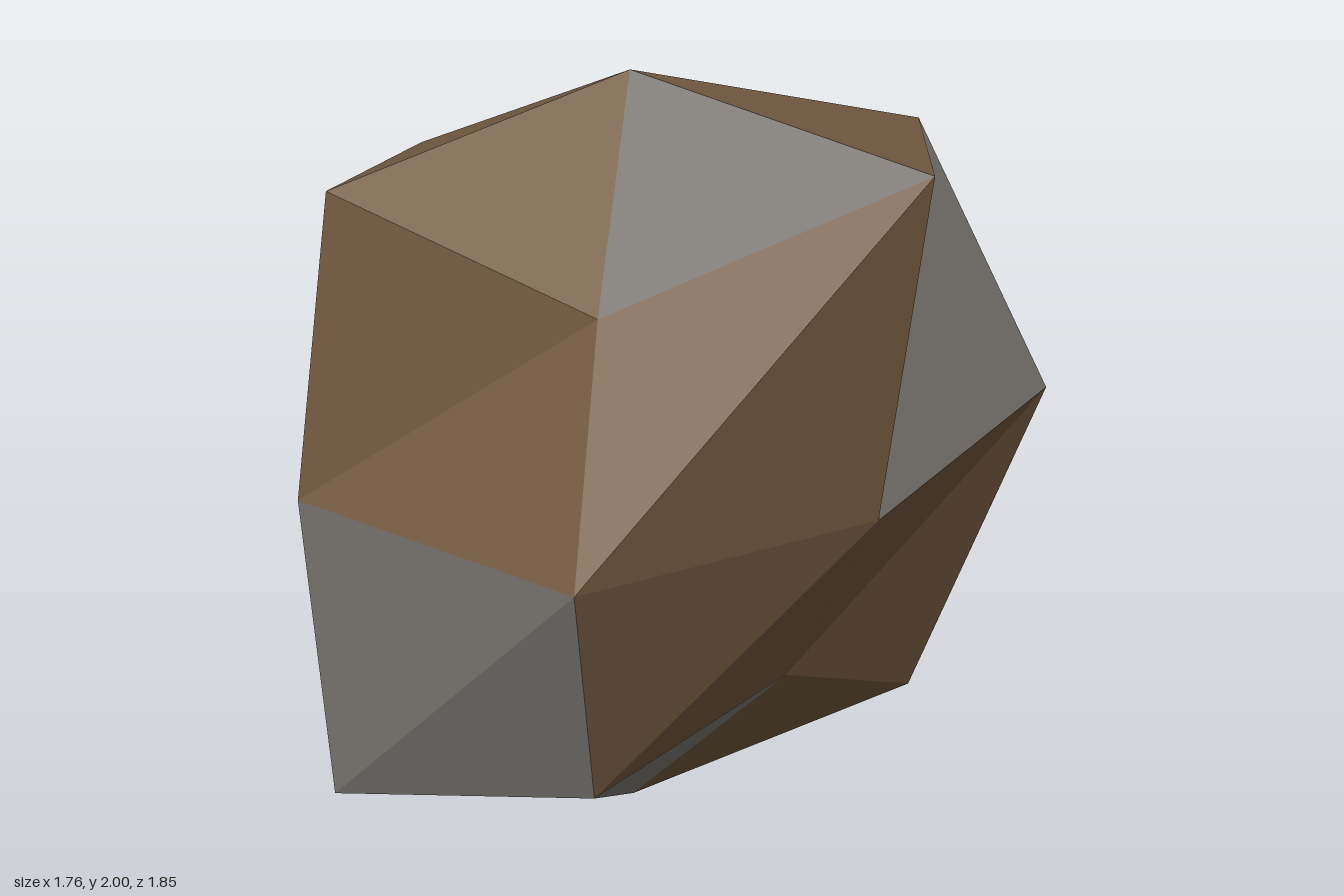
import * as THREE from 'three';

// A six-sided, four-row faceted rock: every ring point is pushed in or out along its radius.
const SIDES = 6;
const CENTRE = new THREE.Vector3(0, 1, 0.13);
const RADII = [
  [1, 1, 1, 1, 1, 1],                      // top point
  [1.25, 0.76, 1.1, 0.99, 0.81, 1.13],     // upper ring
  [0.76, 0.915, 0.885, 0.73, 0.83, 1.22],  // middle ring
  [0.7, 0.93, 1.17, 1.24, 0.785, 1.17],    // lower ring
  [1, 1, 1, 1, 1, 1],                      // bottom point
];

function rockPoint(row, i) {
  const side = i % SIDES;
  const polar = (row / 4) * Math.PI;
  const turn = (side / SIDES) * Math.PI * 2;
  return new THREE.Vector3(
    Math.sin(polar) * Math.cos(turn),
    Math.cos(polar),
    Math.sin(polar) * Math.sin(turn)
  ).multiplyScalar(RADII[row][side]).add(CENTRE);
}

// Collects the facets whose pattern matches one colour
function facetMesh(name, material, belongs) {
  const points = [];
  for (let row = 0; row < 4; row++) {
    for (let i = 0; i < SIDES; i++) {
      if (!belongs(row, i)) continue;
      const a = rockPoint(row, i), b = rockPoint(row, i + 1);
      const c = rockPoint(row + 1, i + 1), d = rockPoint(row + 1, i);
      if (row > 0) points.push(a, b, c);
      if (row < 3) points.push(a, c, d);
    }
  }
  const geometry = new THREE.BufferGeometry().setFromPoints(points);
  geometry.computeVertexNormals();
  const mesh = new THREE.Mesh(geometry, material);
  mesh.name = name;
  return mesh;
}

export function createModel() {
  const brown = new THREE.MeshStandardMaterial({ color: 0x735a40 });
  brown.name = 'earth brown';
  const grey = new THREE.MeshStandardMaterial({ color: 0x7d7a74 });
  grey.name = 'stone grey';

  // Grey facets spiral around the rock, one in three
  const isGrey = (row, i) => (row + i) % 3 === 0;

  const rock = new THREE.Group();
  rock.name = 'rock';
  rock.add(
    facetMesh('brownFacets', brown, (row, i) => !isGrey(row, i)),
    facetMesh('greyFacets', grey, isGrey)
  );
  return rock;
}
